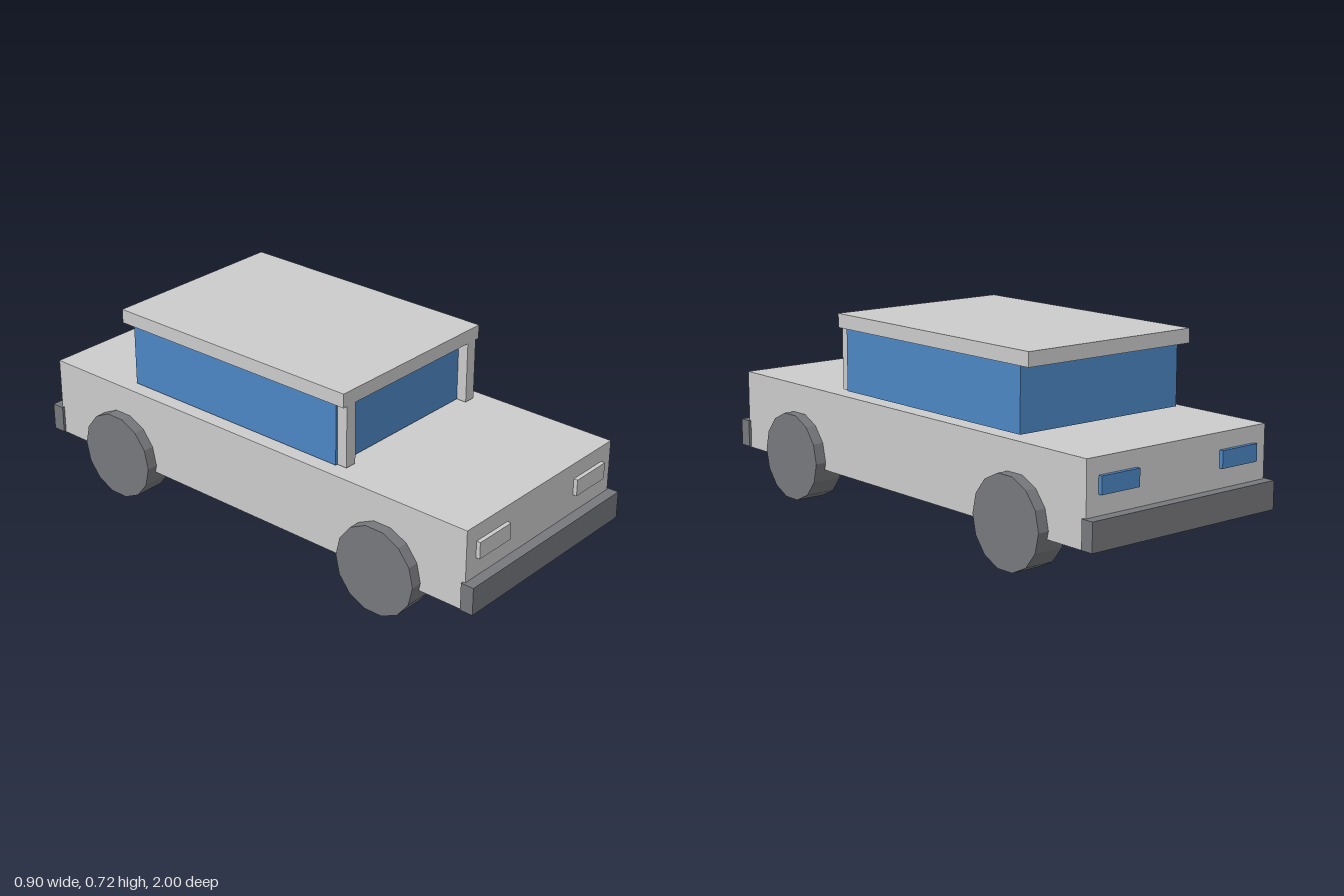
import * as THREE from 'three';

export function createModel() {
  const model = new THREE.Group();
  model.name = 'car';

  const paint = new THREE.MeshStandardMaterial({ color: 0xcccccc, flatShading: true });
  const dark = new THREE.MeshStandardMaterial({ color: 0x77787c, flatShading: true });
  const blue = new THREE.MeshStandardMaterial({ color: 0x4c86c4, flatShading: true });

  // Box given by its lower and upper limits on each axis
  function box(name, material, [x0, x1], [y0, y1], [z0, z1]) {
    const mesh = new THREE.Mesh(new THREE.BoxGeometry(x1 - x0, y1 - y0, z1 - z0), material);
    mesh.position.set((x0 + x1) / 2, (y0 + y1) / 2, (z0 + z1) / 2);
    mesh.name = name;
    model.add(mesh);
  }

  // Lower body, cabin glass and overhanging roof
  box('body', paint, [-0.408, 0.408], [0.132, 0.43], [-0.96, 0.96]);
  box('cabinGlass', blue, [-0.36, 0.36], [0.436, 0.666], [-0.59, 0.37]);
  box('roof', paint, [-0.368, 0.368], [0.666, 0.718], [-0.64, 0.41]);

  // Bumpers
  box('frontBumper', dark, [-0.418, 0.418], [0.136, 0.238], [0.95, 1]);
  box('rearBumper', dark, [-0.418, 0.418], [0.136, 0.238], [-1, -0.95]);

  // Fourteen-sided wheel, resting on a flat side
  const radius = 0.165;
  const hubHeight = radius * Math.cos(Math.PI / 14);
  const wheelGeometry = new THREE.CylinderGeometry(radius, radius, 0.116, 14).rotateZ(Math.PI / 2);

  for (const side of [1, -1]) {
    const label = side > 0 ? 'Left' : 'Right';
    const span = (a, b) => (side > 0 ? [a, b] : [-b, -a]);

    // Windscreen pillars and lamps
    box(`pillar${label}`, paint, span(0.306, 0.351), [0.436, 0.666], [0.37, 0.41]);
    box(`headlight${label}`, paint, span(0.19, 0.356), [0.308, 0.37], [0.95, 0.975]);
    box(`tailLight${label}`, blue, span(0.19, 0.356), [0.308, 0.37], [-0.975, -0.95]);

    // Wheels
    for (const [end, z] of [['front', 0.614], ['rear', -0.62]]) {
      const wheel = new THREE.Mesh(wheelGeometry, dark);
      wheel.position.set(side * 0.392, hubHeight, z);
      wheel.name = `${end}Wheel${label}`;
      model.add(wheel);
    }
  }

  return model;
}
